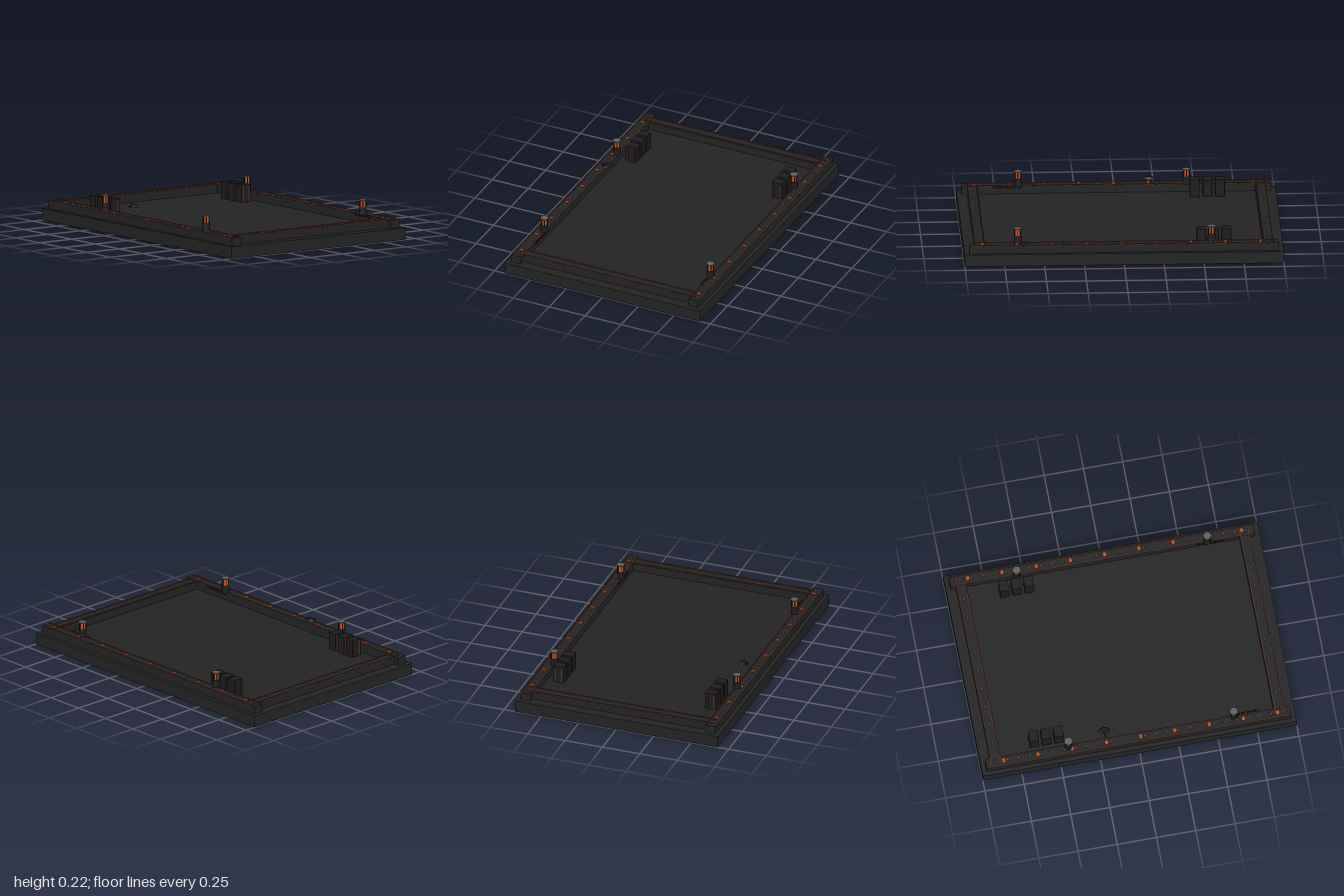
import * as THREE from 'three';

export function createModel() {
  const root = new THREE.Group();
  const mat = (name, color) => {
    const m = new THREE.MeshStandardMaterial({ color });
    m.name = name;
    return m;
  };
  const stone = mat('dark stone', 0x232323);
  const iron = mat('black iron', 0x1c1c1e);
  const rust = mat('rust', 0x5e2a1c);
  const ember = mat('ember orange', 0xc8501a);
  const steel = mat('grey steel', 0x5c6064);

  const add = (parent, name, geo, material, x, y, z) => {
    const m = new THREE.Mesh(geo, material);
    m.name = name;
    m.position.set(x, y, z);
    parent.add(m);
    return m;
  };
  const box = (parent, name, w, h, d, material, x, y, z) =>
    add(parent, name, new THREE.BoxGeometry(w, h, d), material, x, y, z);

  // Base slab with the raised rim
  box(root, 'baseSlab', 1.354, 0.075, 2, stone, 0, 0.0375, 0);
  for (const s of [-1, 1]) {
    box(root, 'sideRail', 0.066, 0.05, 1.94, stone, s * 0.617, 0.1, 0);
    box(root, 'endRail', 1.17, 0.049, 0.066, stone, 0, 0.0995, s * 0.903);
    // Rusty edge strips
    for (const e of [-1, 1]) {
      box(root, 'sideTrim', 0.005, 0.005, 1.92, rust, s * 0.617 + e * 0.03, 0.1265, 0);
      box(root, 'endTrim', 1.25, 0.005, 0.005, rust, 0, 0.1265, s * 0.905 + e * 0.028);
    }
  }

  // Rivets and glowing inlays along the rim
  const rivet = new THREE.CylinderGeometry(0.006, 0.009, 0.006, 6);
  for (const s of [-1, 1]) {
    for (let i = 0; i < 26; i++) add(root, 'rivet', rivet, steel, s * 0.617, 0.128, -0.905 + i * 0.073);
    for (let i = -4; i <= 4; i++) add(root, 'rivet', rivet, steel, i * 0.122, 0.127, s * 0.903);
    for (let i = 0; i < 9; i++)
      box(root, 'glowInlay', 0.025, 0.006, 0.018, ember, s * 0.617, 0.128, -0.855 + i * 0.218);
  }

  // Lanterns: dark foot, ember core, cage bars and steel cap
  const foot = new THREE.CylinderGeometry(0.023, 0.026, 0.05, 8);
  const core = new THREE.CylinderGeometry(0.018, 0.018, 0.042, 8);
  const cap = new THREE.CylinderGeometry(0.027, 0.027, 0.006, 8);
  const bar = new THREE.CylinderGeometry(0.003, 0.003, 0.044, 5);
  for (const [x, z] of [[-0.597, -0.44], [0.583, -0.55], [-0.59, 0.615], [0.59, 0.665]]) {
    const lantern = new THREE.Group();
    lantern.name = 'lantern';
    lantern.position.set(x, 0.122, z);
    add(lantern, 'lanternFoot', foot, iron, 0, 0.025, 0);
    add(lantern, 'lanternCore', core, ember, 0, 0.071, 0);
    for (let i = 0; i < 6; i++) {
      const a = (i * Math.PI) / 3;
      add(lantern, 'cageBar', bar, iron, Math.cos(a) * 0.021, 0.072, Math.sin(a) * 0.021);
    }
    add(lantern, 'lanternCap', cap, steel, 0, 0.097, 0);
    root.add(lantern);
  }

  // Two rows of slatted crates
  for (const s of [-1, 1]) {
    for (const z of [-0.645, -0.567, -0.488]) {
      const crate = new THREE.Group();
      crate.name = 'crate';
      crate.position.set(s * 0.508, 0.075, z);
      box(crate, 'crateBody', 0.072, 0.11, 0.058, iron, 0, 0.055, 0);
      for (const e of [-1, 1])
        for (const x of [-0.021, 0.021])
          box(crate, 'crateStrap', 0.006, 0.1, 0.003, rust, x, 0.053, e * 0.0295);
      root.add(crate);
    }
  }

  // Wall bracket: an arm from the left rim carrying a flat tapered head
  const head = add(root, 'bracketHead', new THREE.CylinderGeometry(0.024, 0.042, 0.016, 8), iron, -0.551, 0.18, -0.204);
  head.scale.x = 0.55;
  box(root, 'bracketArm', 0.035, 0.008, 0.012, iron, -0.572, 0.174, -0.204);

  // Chains lying along the inner edge near the front lanterns
  const link = new THREE.TorusGeometry(0.009, 0.0025, 5, 8);
  for (const s of [-1, 1])
    for (let i = 0; i < 10; i++) {
      const l = add(root, 'chainLink', link, i % 2 ? rust : iron, s * 0.577, 0.122, 0.61 + i * 0.017);
      l.rotation.set(i % 2 ? Math.PI / 2 : 0, i % 2 ? 0 : Math.PI / 2, 0);
    }

  return root;
}
